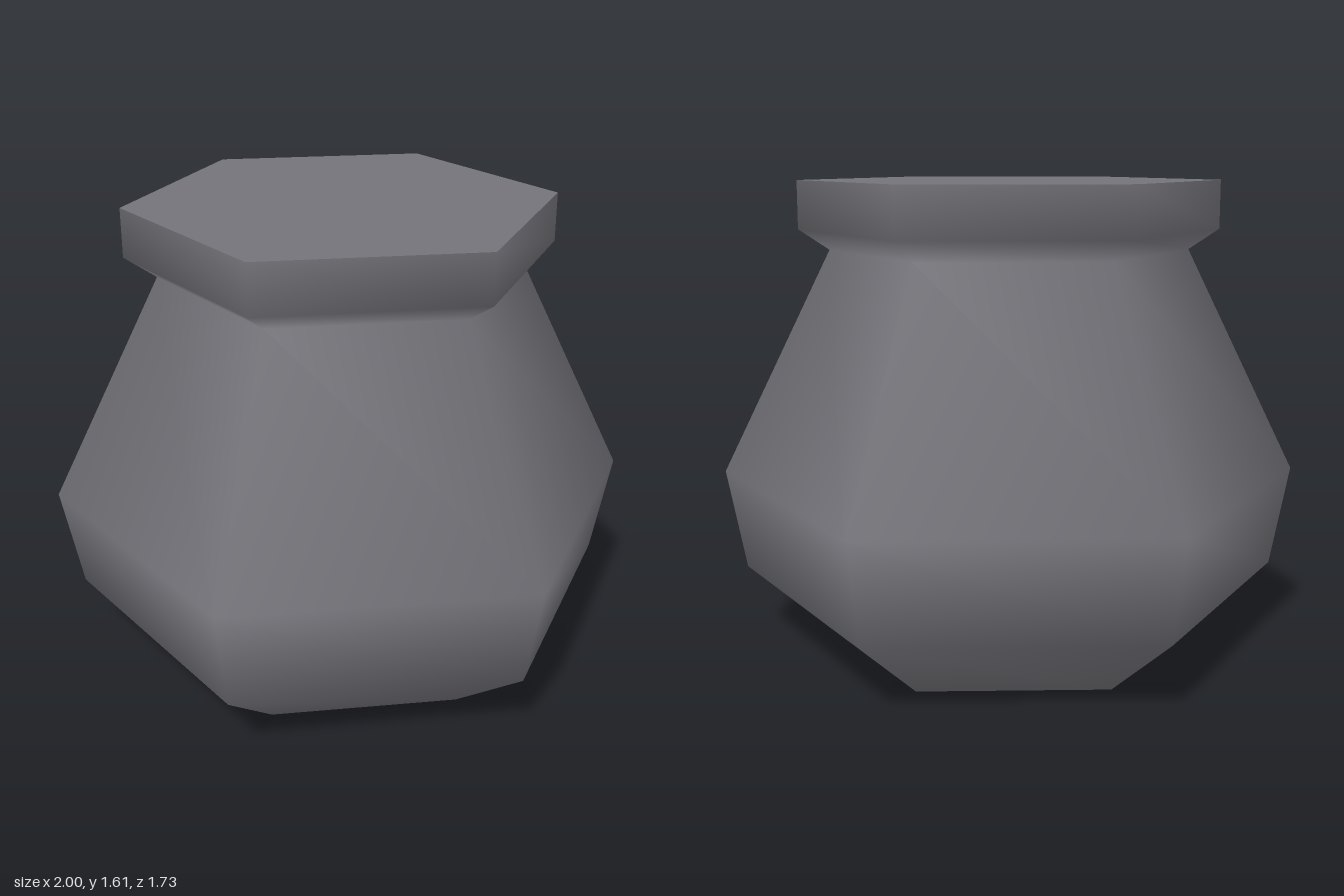
import * as THREE from 'three';

export function createModel() {
  const group = new THREE.Group();
  const stone = new THREE.MeshStandardMaterial({ color: 0x747379 });
  stone.name = 'darkGrey';
  const SIDES = 6;

  const add = (name, geometry, y = 0) => {
    const mesh = new THREE.Mesh(geometry, stone);
    mesh.name = name;
    mesh.position.y = y;
    group.add(mesh);
  };

  // Six-sided pot wall, smooth from the foot up through the neck to the rim
  const profile = [
    [0.63, 0], [0.935, 0.25], [1, 0.6], [0.615, 1.375], [0.72, 1.445], [0.72, 1.61],
  ].map(([r, y]) => new THREE.Vector2(r, y));
  add('potWall', new THREE.LatheGeometry(profile, SIDES, Math.PI / 2));

  // Flat lid and base, sharp against the wall
  add('lidTop', new THREE.CircleGeometry(0.72, SIDES).rotateX(-Math.PI / 2), 1.61);
  add('base', new THREE.CircleGeometry(0.63, SIDES).rotateX(Math.PI / 2));

  return group;
}
